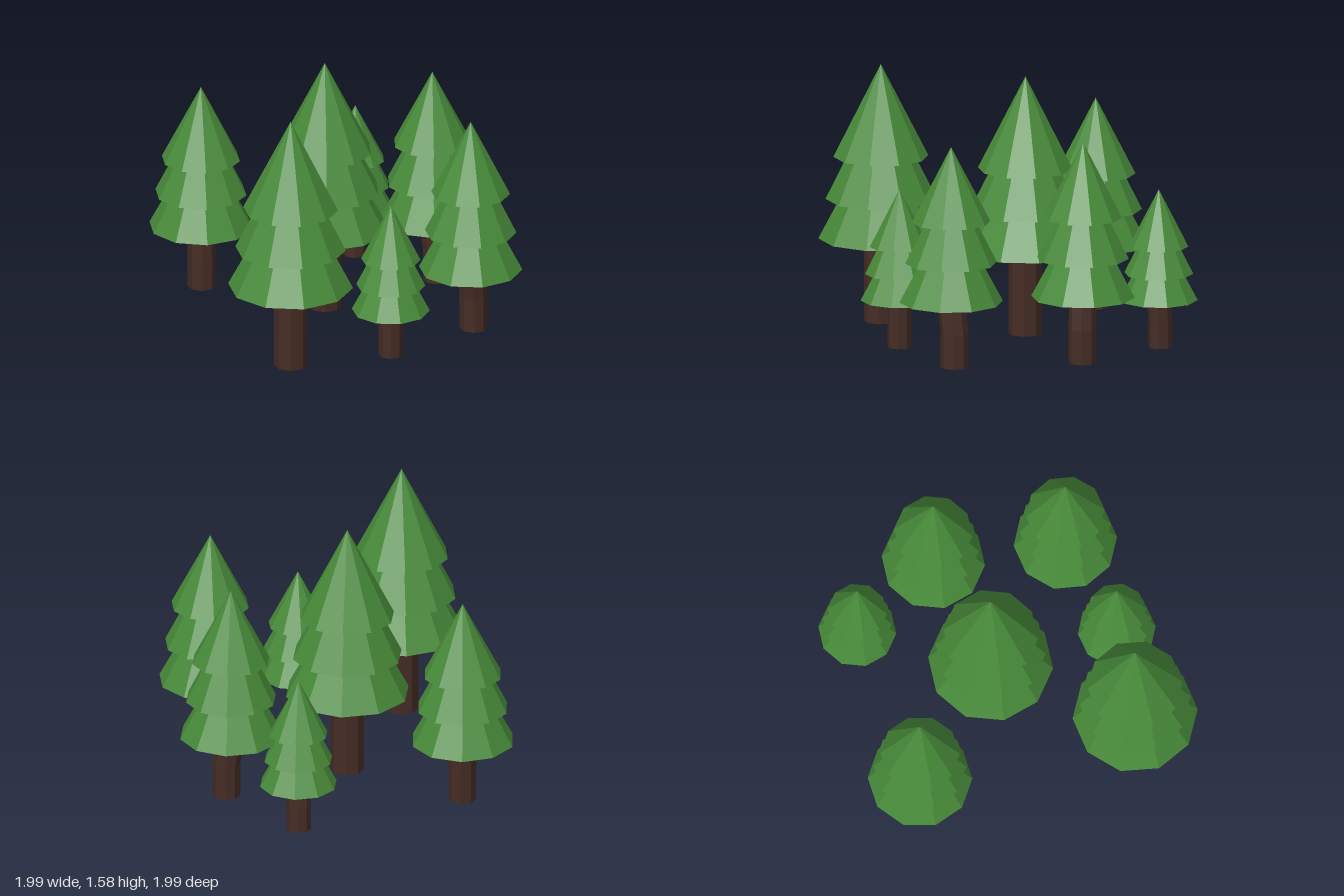
import * as THREE from 'three';

const leafMat = new THREE.MeshStandardMaterial({ color: 0x478a39, flatShading: true });
const barkMat = new THREE.MeshStandardMaterial({ color: 0x452c24, flatShading: true });

// Slightly bent eight-sided trunk; the lower half is shifted by the bend
function makeTrunk(radius, bottom, top, bendX, bendZ) {
  const height = top - bottom;
  const geo = new THREE.CylinderGeometry(radius, radius, height, 8, 2);
  geo.rotateY(Math.PI / 8);
  geo.translate(0, bottom + height / 2, 0);
  const p = geo.attributes.position;
  for (let i = 0; i < p.count; i++) {
    const t = Math.min(1, 2 * (top - p.getY(i)) / height);
    p.setXYZ(i, p.getX(i) + bendX * t, p.getY(i), p.getZ(i) + bendZ * t);
  }
  geo.computeVertexNormals();
  const trunk = new THREE.Mesh(geo, barkMat);
  trunk.name = 'trunk';
  return trunk;
}

// Pine: three overlapping ten-sided cones above a trunk
function makePine({ x, z, radius, skirts, peak, turn, trunkR, foot, bend }) {
  const tree = new THREE.Group();
  tree.name = 'pineTree';
  const ratios = [1, 0.885, 0.76];
  const slopes = [0.53, 0.5];
  skirts.forEach((base, i) => {
    const r = radius * ratios[i];
    const height = i === 2 ? peak - base : r / slopes[i];
    const geo = new THREE.ConeGeometry(r, height, 10);
    geo.translate(0, base + height / 2, 0);
    const cone = new THREE.Mesh(geo, leafMat);
    cone.rotation.y = THREE.MathUtils.degToRad(turn);
    cone.name = ['lowerFoliage', 'middleFoliage', 'topFoliage'][i];
    tree.add(cone);
  });
  tree.add(makeTrunk(trunkR, foot, skirts[0] + 0.02, bend[0], bend[1]));
  tree.position.set(x, 0, z);
  return tree;
}

export function createModel() {
  const grove = new THREE.Group();
  grove.name = 'pineGrove';
  // Shared sizes
  const large = { radius: 0.372, skirts: [0.525, 0.765, 1.02], peak: 1.58, trunkR: 0.1, foot: 0.017 };
  const medium = { radius: 0.308, skirts: [0.4, 0.637, 0.885], peak: 1.34, trunkR: 0.083, foot: 0.006 };
  const squat = { radius: 0.31, skirts: [0.4, 0.613, 0.83], peak: 1.29, trunkR: 0.083, foot: 0.015 };
  const small = { radius: 0.232, skirts: [0.29, 0.45, 0.615], peak: 0.96, trunkR: 0.072, foot: 0.002 };
  // Placement, turn in degrees and trunk bend of each tree
  const trees = [
    { ...large, x: -0.625, z: 0.63, turn: 24, bend: [0, 0] },
    { ...large, x: -0.073, z: -0.1, turn: 14, bend: [0, 0] },
    { ...medium, x: 0.58, z: 0.555, turn: 25, bend: [0.025, -0.015] },
    { ...medium, x: 0.685, z: -0.23, turn: 14, bend: [0.025, 0.01] },
    { ...squat, x: -0.61, z: -0.695, turn: 19, bend: [0, 0.01] },
    { ...small, x: 0.43, z: -0.775, turn: 14, bend: [0, -0.01] },
    { ...small, x: -0.005, z: 0.7, turn: 26, bend: [0, 0] },
  ];
  trees.forEach((t) => grove.add(makePine(t)));
  return grove;
}
